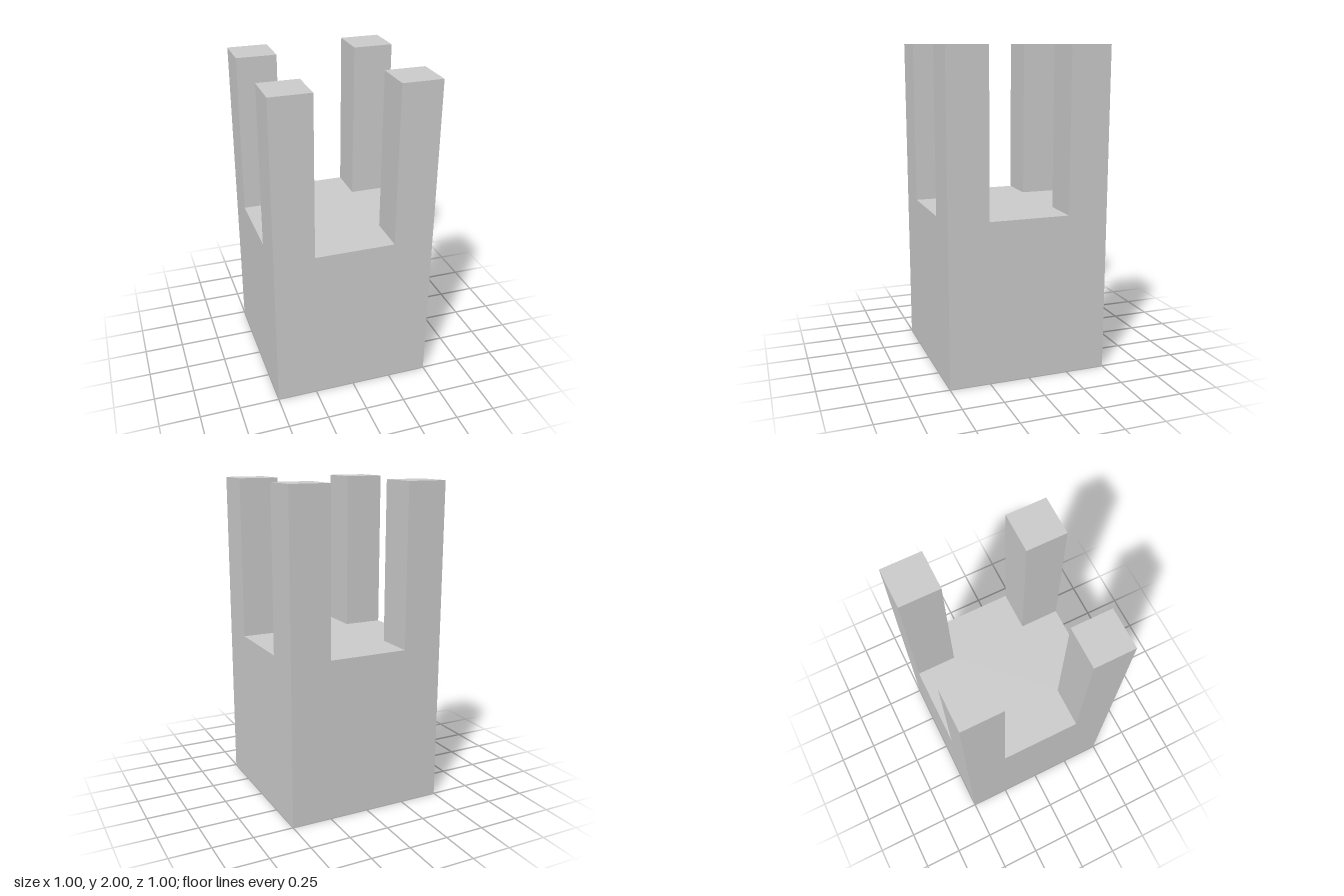
import * as THREE from 'three';

const material = new THREE.MeshStandardMaterial({ color: 0xcccccc, flatShading: true });

// Box standing on the given base height
function addBox(parent, name, [w, h, d], [x, baseY, z]) {
  const mesh = new THREE.Mesh(new THREE.BoxGeometry(w, h, d), material);
  mesh.name = name;
  mesh.position.set(x, baseY + h / 2, z);
  parent.add(mesh);
}

export function createModel() {
  const model = new THREE.Group();
  model.name = 'blockWithCornerPosts';

  // Cubic base
  addBox(model, 'base', [1, 1, 1], [0, 0, 0]);

  // Four square posts, flush with the outer corners
  const posts = new THREE.Group();
  posts.name = 'cornerPosts';
  for (const [xName, x] of [['Left', 1], ['Right', -1]]) {
    for (const [zName, z] of [['front', 1], ['back', -1]]) {
      addBox(posts, `${zName}${xName}Post`, [0.25, 1, 0.25], [x * 0.375, 1, z * 0.375]);
    }
  }
  model.add(posts);

  return model;
}
